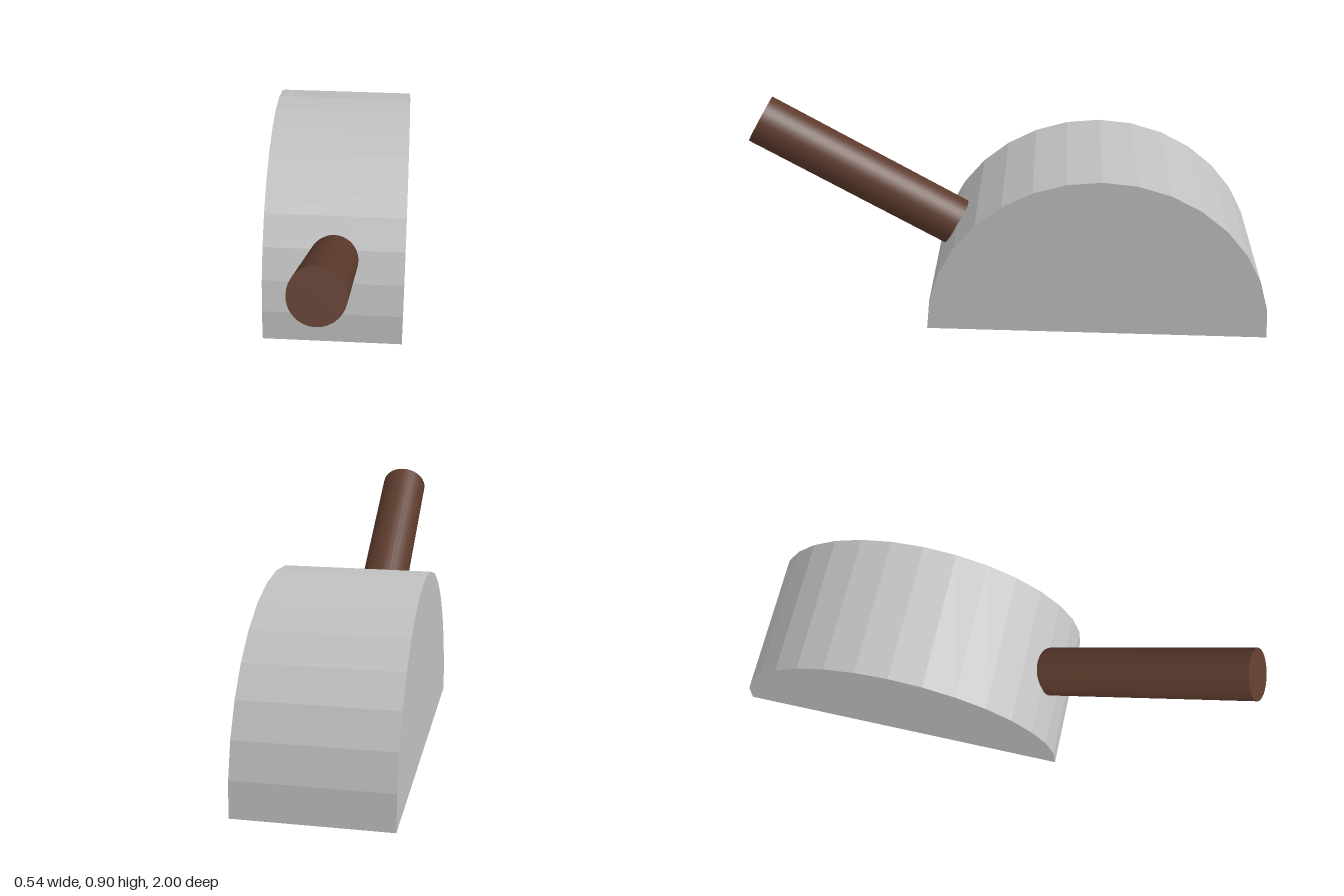
import * as THREE from 'three';

export function createModel() {
  const group = new THREE.Group();
  const silver = new THREE.MeshStandardMaterial({ color: 0xc0c0c0 });
  silver.name = 'silver';
  const brown = new THREE.MeshStandardMaterial({ color: 0x5c3a2c });
  brown.name = 'brown';

  // Half-round block: a faceted semicircle (16 sides) extruded across x
  const width = 0.544;
  const half = new THREE.Shape();
  half.absarc(0, 0, 0.656, 0, Math.PI, false);
  half.closePath();
  const blockGeometry = new THREE.ExtrudeGeometry(half, {
    depth: width, bevelEnabled: false, curveSegments: 8,
  });
  blockGeometry.translate(0, 0, -width / 2).rotateY(-Math.PI / 2);
  const block = new THREE.Mesh(blockGeometry, silver);
  block.name = 'halfRoundBlock';
  block.position.set(0, 0.063, -0.342);
  group.add(block);

  // Round handle, leaning forward and poking out through the underside
  const handle = new THREE.Mesh(new THREE.CylinderGeometry(0.095, 0.095, 1.46, 32), brown);
  handle.name = 'handle';
  handle.position.set(0, 0.451, 0.322);
  handle.rotation.x = THREE.MathUtils.degToRad(59.7);
  group.add(handle);

  return group;
}
